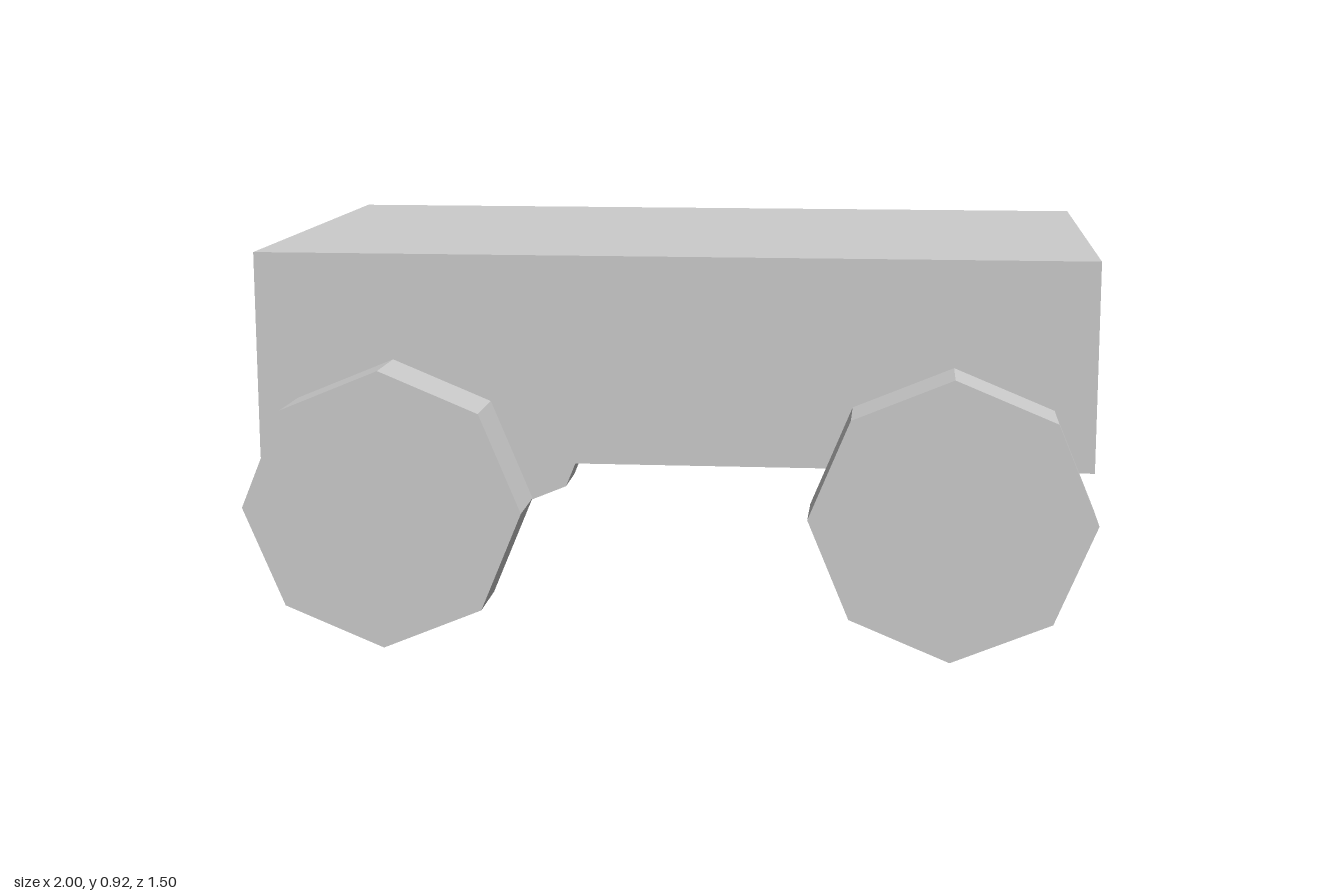
import * as THREE from 'three';

export function createModel() {
  const model = new THREE.Group();
  model.name = 'cart';

  const grey = new THREE.MeshStandardMaterial({ color: 0xcccccc });
  grey.name = 'light grey';
  grey.flatShading = true;

  // Plain box body
  const body = new THREE.Mesh(new THREE.BoxGeometry(2, 0.5, 1.166), grey);
  body.name = 'body';
  body.position.y = 0.67;
  model.add(body);

  // Four octagonal wheels, flush against the long sides
  const radius = 0.333, width = 0.167;
  const wheelGeometry = new THREE.CylinderGeometry(radius, radius, width, 8).rotateX(Math.PI / 2);
  for (const [side, x] of [['left', 0.667], ['right', -0.667]]) {
    for (const [end, z] of [['front', 0.6665], ['back', -0.6665]]) {
      const wheel = new THREE.Mesh(wheelGeometry, grey);
      wheel.name = `${end} ${side} wheel`;
      wheel.position.set(x, radius, z);
      model.add(wheel);
    }
  }

  return model;
}
